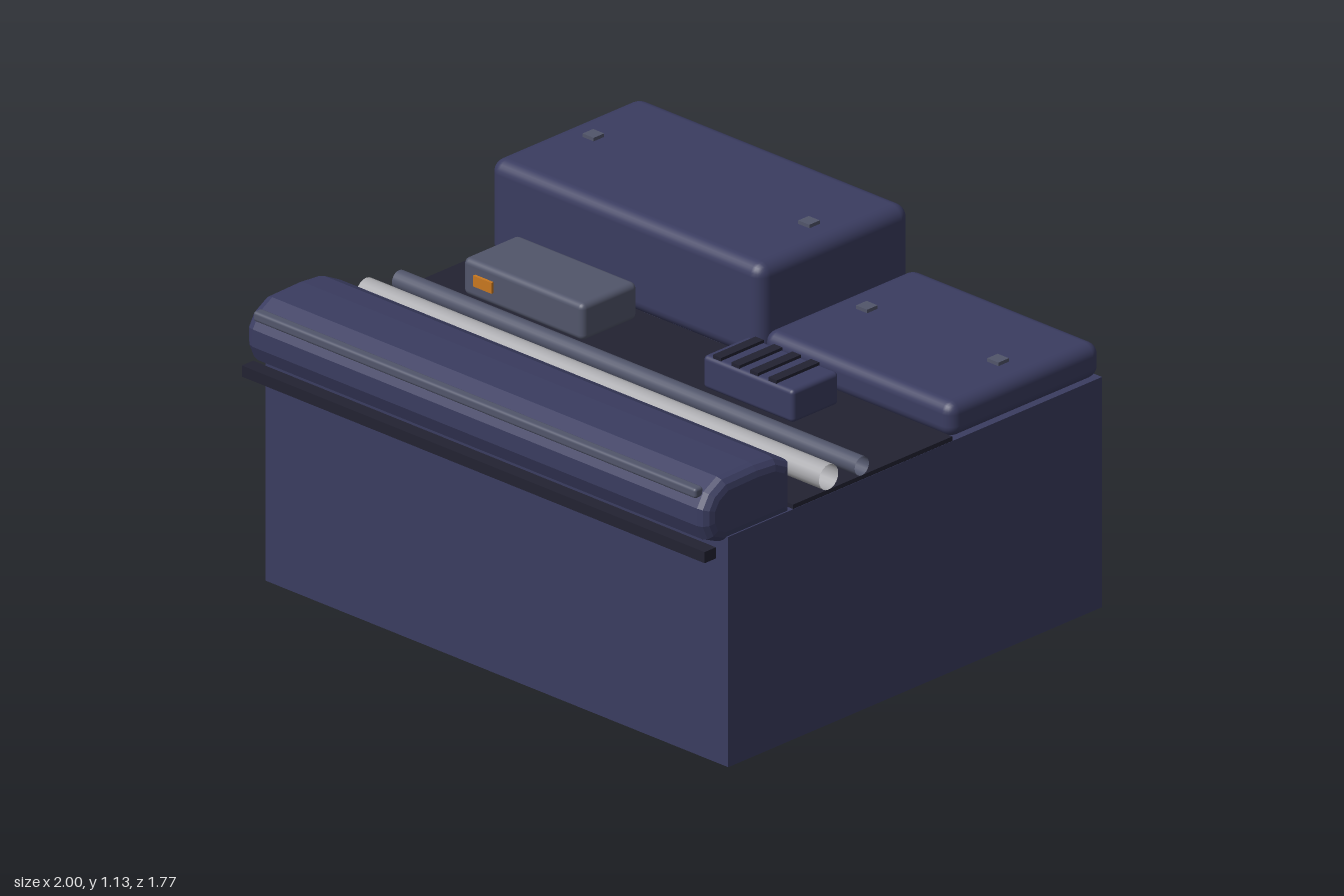
import * as THREE from 'three';
import { RoundedBoxGeometry } from 'three/addons/geometries/RoundedBoxGeometry.js';

const mat = (color, side = THREE.FrontSide) => new THREE.MeshStandardMaterial({ color, side });
const navy = mat(0x3a3c60), dark = mat(0x222232), slate = mat(0x51556a), amber = mat(0xc87820);
const slateTube = mat(0x51556a, THREE.DoubleSide), steelTube = mat(0xaaaaae, THREE.DoubleSide);

export function createModel() {
  const model = new THREE.Group();

  const add = (name, geometry, material) => {
    const mesh = new THREE.Mesh(geometry, material);
    mesh.name = name;
    model.add(mesh);
    return mesh;
  };
  // Box given by its extents on each axis, rounded when a radius is given
  const box = (name, [x0, x1], [y0, y1], [z0, z1], material, radius = 0) => {
    const size = [x1 - x0, y1 - y0, z1 - z0];
    const geometry = radius ? new RoundedBoxGeometry(...size, 3, radius) : new THREE.BoxGeometry(...size);
    add(name, geometry, material).position.set((x0 + x1) / 2, (y0 + y1) / 2, (z0 + z1) / 2);
  };
  // Open pipe running across the deck
  const pipe = (name, y, z, radius, material) => {
    const mesh = add(name, new THREE.CylinderGeometry(radius, radius, 2, 20, 1, true), material);
    mesh.rotation.z = Math.PI / 2;
    mesh.position.set(0, y, z);
  };

  // Body and dark deck
  box('body', [-1, 1], [0, 0.785], [-0.885, 0.78], navy);
  box('deck', [-0.999, 0.999], [0.78, 0.8], [-0.22, 0.49], dark);

  // Rear housings with square caps on top
  box('tallHousing', [-1, 0.177], [0.785, 1.115], [-0.885, -0.212], navy, 0.045);
  box('lowHousing', [0.182, 1], [0.785, 0.905], [-0.885, -0.212], navy, 0.04);
  for (const [x, top] of [[-0.877, 1.115], [0.055, 1.115], [0.305, 0.905], [0.872, 0.905]])
    box('housingCap', [x - 0.024, x + 0.024], [top - 0.01, top + 0.012], [-0.577, -0.53], slate);

  // Front bolster: rounded profile swept along x with bevelled ends
  const bevel = 0.04;
  const profile = new THREE.Shape([
    [0.53, 0.805], [0.79, 0.805], [0.825, 0.82], [0.838, 0.85], [0.838, 0.89],
    [0.82, 0.92], [0.78, 0.943], [0.65, 0.946], [0.57, 0.94], [0.53, 0.92],
  ].map(([z, y]) => new THREE.Vector2(-z, y)));
  const bolster = new THREE.ExtrudeGeometry(profile, {
    depth: 2 - 2 * bevel, bevelEnabled: true, bevelSize: bevel, bevelThickness: bevel, bevelSegments: 3,
  });
  bolster.translate(0, 0, -1 + bevel);
  bolster.rotateY(Math.PI / 2);
  add('frontBolster', bolster, navy);
  box('bolsterTrim', [-0.957, 0.957], [0.932, 0.966], [0.845, 0.882], slate, 0.01);
  box('frontRail', [-1, 1], [0.73, 0.768], [0.835, 0.885], dark);

  // Pipes resting on the deck
  pipe('thinPipe', 0.832, 0.185, 0.032, slateTube);
  pipe('thickPipe', 0.843, 0.333, 0.043, steelTube);

  // Control box with an indicator light
  box('controlBox', [-0.83, -0.31], [0.8, 0.927], [-0.168, 0.078], slate, 0.02);
  box('indicatorLight', [-0.775, -0.695], [0.848, 0.885], [0.06, 0.088], amber);

  // Vent block with slats
  box('ventBlock', [0.19, 0.58], [0.8, 0.912], [-0.147, 0.06], navy, 0.015);
  for (let i = 0; i < 4; i++) {
    const x = 0.245 + i * 0.08;
    box('ventSlat', [x - 0.018, x + 0.018], [0.9, 0.922], [-0.138, 0.052], dark);
  }
  return model;
}
